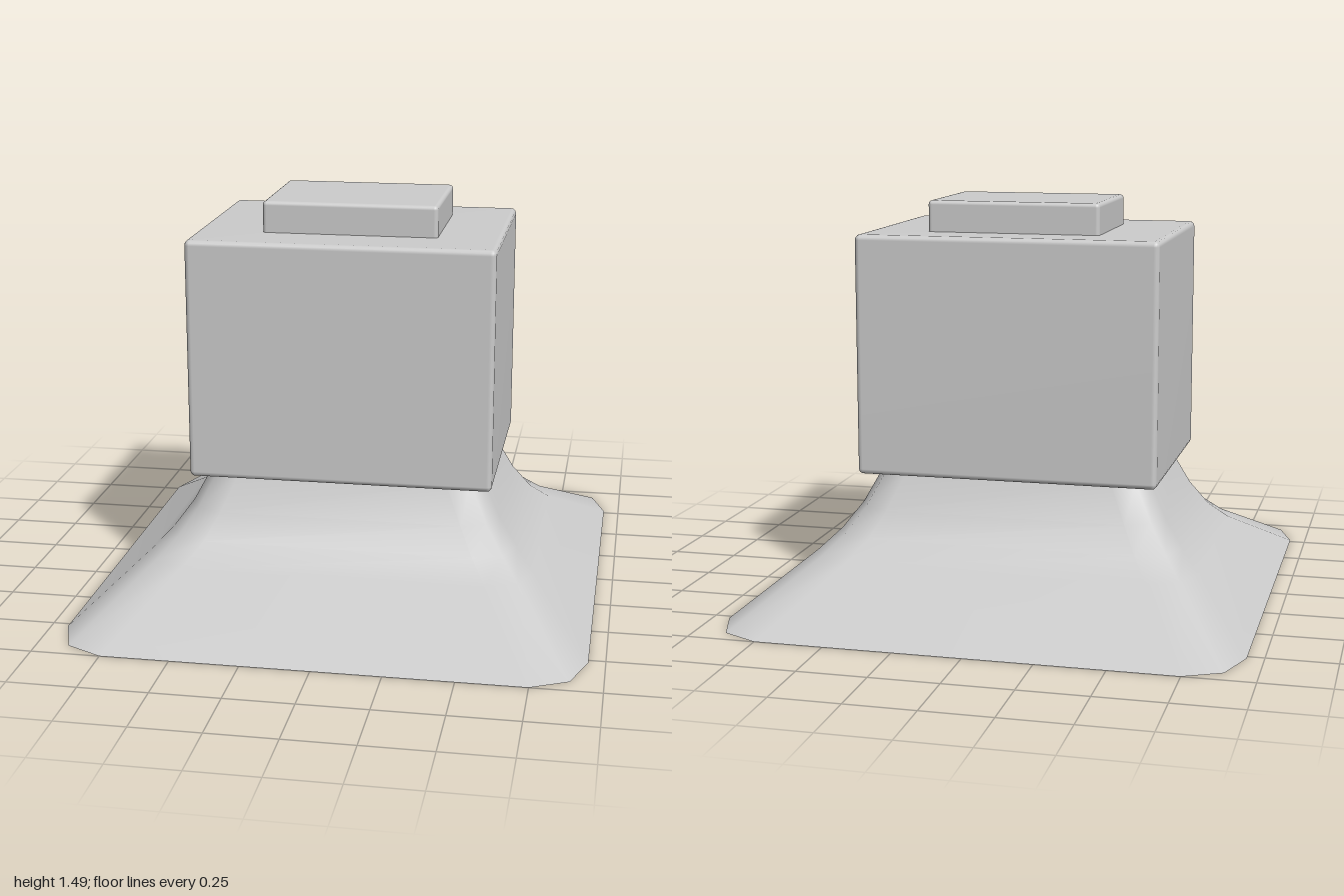
import * as THREE from 'three';
import { RoundedBoxGeometry } from 'three/addons/geometries/RoundedBoxGeometry.js';

const material = new THREE.MeshStandardMaterial({ color: 0xcccccc, side: THREE.DoubleSide });

// Lofts rounded rectangles from bottom to top.
// Each ring is [halfX, y, halfZ, cornerX, cornerZ].
function loft(rings, cornerSteps) {
  const positions = [], index = [];
  const count = 4 * (cornerSteps + 1);
  for (const [hx, y, hz, rx, rz] of rings) {
    for (let corner = 0; corner < 4; corner++) {
      const sx = corner === 0 || corner === 3 ? 1 : -1;
      const sz = corner < 2 ? -1 : 1;
      for (let s = 0; s <= cornerSteps; s++) {
        const a = (corner + s / cornerSteps) * Math.PI / 2;
        positions.push(sx * (hx - rx) + rx * Math.cos(a), y, sz * (hz - rz) - rz * Math.sin(a));
      }
    }
  }
  for (let i = 0; i < rings.length - 1; i++) {
    for (let j = 0; j < count; j++) {
      const a = i * count + j, b = i * count + (j + 1) % count;
      index.push(a, b, b + count, a, b + count, a + count);
    }
  }
  const geometry = new THREE.BufferGeometry();
  geometry.setAttribute('position', new THREE.Float32BufferAttribute(positions, 3));
  geometry.setIndex(index);
  geometry.computeVertexNormals();
  return geometry;
}

export function createModel() {
  const group = new THREE.Group();
  const add = (name, geometry, x = 0, y = 0, z = 0) => {
    const mesh = new THREE.Mesh(geometry, material);
    mesh.name = name;
    mesh.position.set(x, y, z);
    group.add(mesh);
  };

  // Flared, thin skirt, open at both ends
  add('skirt', loft([
    [0.94, 0, 1.0, 0.19, 0.23],
    [0.72, 0.18, 0.59, 0.16, 0.17],
    [0.65, 0.25, 0.49, 0.15, 0.15],
    [0.58, 0.345, 0.425, 0.13, 0.13],
    [0.51, 0.48, 0.37, 0.12, 0.12],
  ], 2));

  // Hollow housing: bottom lip around the skirt opening, rounded edges, closed top
  const hx = 0.562, hz = 0.425, bottom = 0.478, top = 1.37, r = 0.02;
  const rings = [[0.51, bottom, 0.37, 0.12, 0.12]];
  const edge = (centerY, from) => {
    for (let s = 0; s <= 3; s++) {
      const a = from + s * Math.PI / 6;
      const inset = r * (1 - Math.cos(a));
      const corner = Math.max(r - inset, 0.001);
      rings.push([hx - inset, centerY + r * Math.sin(a), hz - inset, corner, corner]);
    }
  };
  edge(bottom + r, -Math.PI / 2);
  edge(top - r, 0);
  rings.push([0, top, 0, 0, 0]);
  add('housing', loft(rings, 3), -0.002);

  // Raised plate on top of the housing
  add('topPlate', new RoundedBoxGeometry(0.645, 0.135, 0.48, 3, 0.015), 0.007, 1.4175, -0.01);

  return group;
}
